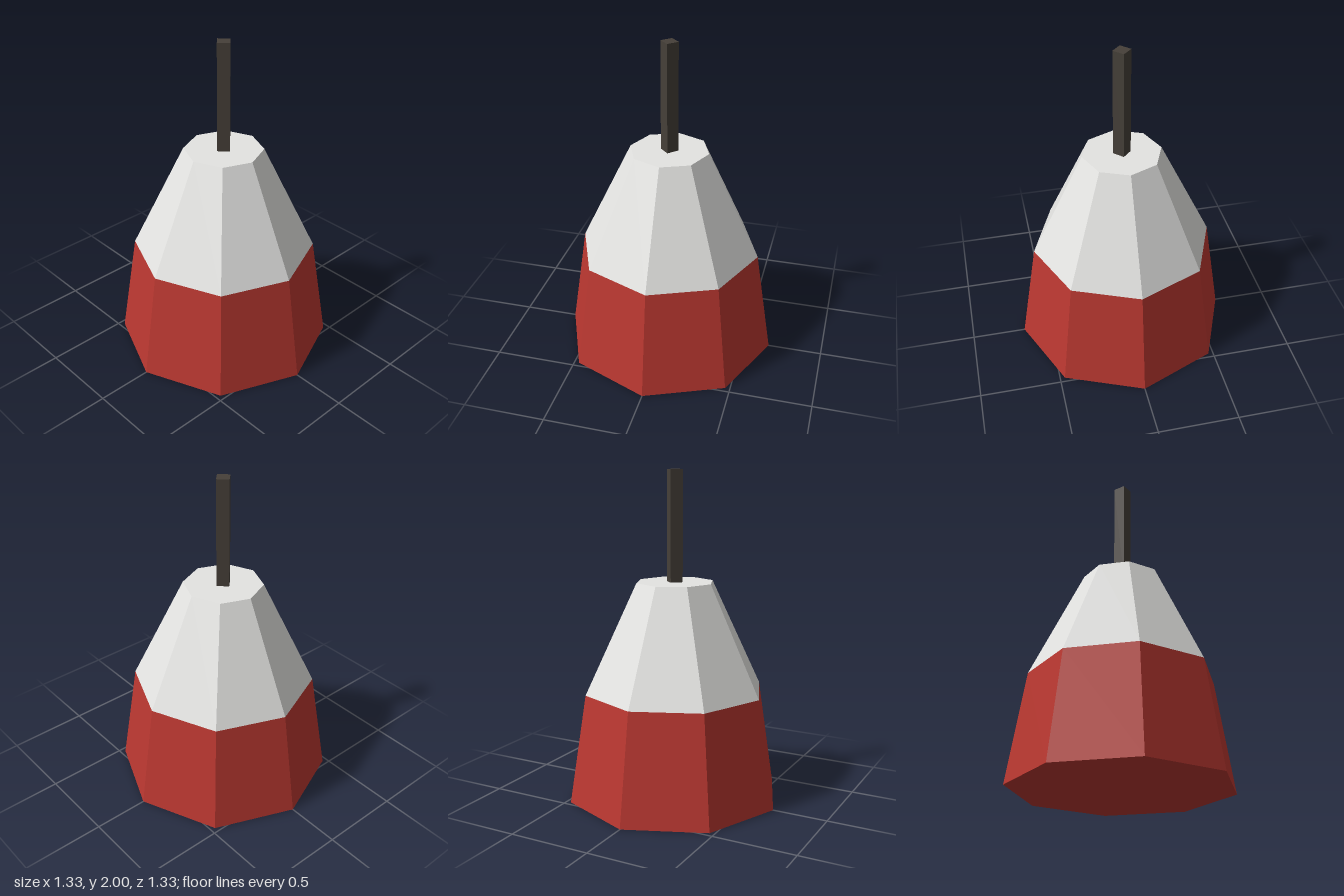
import * as THREE from 'three';

const material = (name, color) => {
  const m = new THREE.MeshStandardMaterial({ color, flatShading: true });
  m.name = name;
  return m;
};

// Faceted solid of revolution from [radius, y] points, listed bottom to top
function faceted(name, profile, sides, mat) {
  const points = profile.map(([r, y]) => new THREE.Vector2(r, y));
  const mesh = new THREE.Mesh(new THREE.LatheGeometry(points, sides), mat);
  mesh.name = name;
  return mesh;
}

export function createModel() {
  const red = material('red', 0xbb3831);
  const lightGrey = material('lightGrey', 0xe4e4e2);
  const darkBrown = material('darkBrown', 0x464039);

  const group = new THREE.Group();
  group.name = 'taperedBuoy';
  group.add(
    // Red lower body with closed underside
    faceted('lowerBody', [[0, 0], [0.665, 0], [0.56, 0.667]], 8, red),
    // Light upper body with flat top
    faceted('upperBody', [[0.56, 0.667], [0.24, 1.333], [0, 1.333]], 8, lightGrey),
    // Square mast, set corner-on
    faceted('mast', [[0.053, 1.333], [0.053, 2], [0, 2]], 4, darkBrown),
  );
  return group;
}
